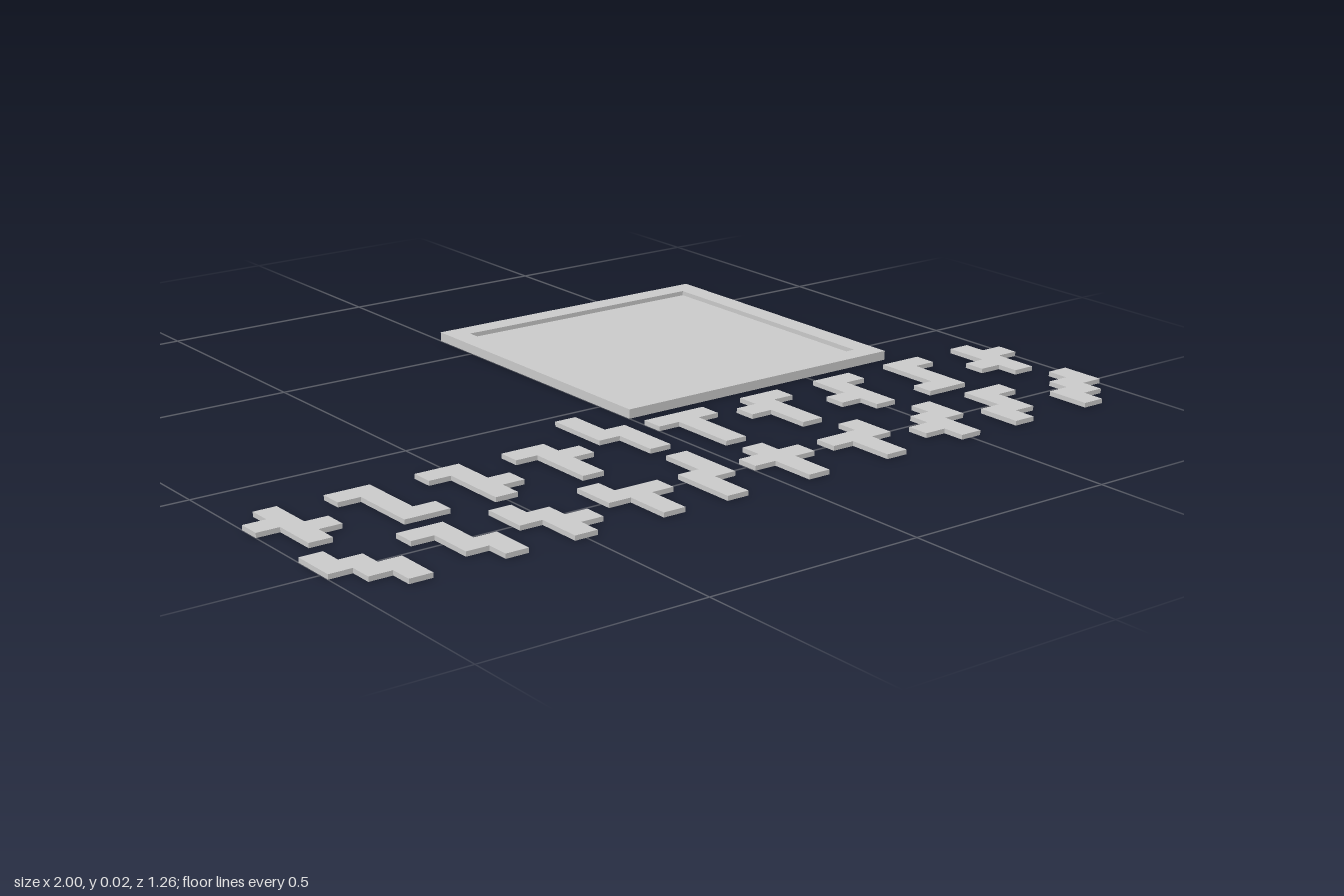
import * as THREE from 'three';

const CELL = 2 / 38;          // side of one square cell
const THICK = CELL * 0.2;     // thickness of a puzzle piece
const TRAY = 14 * CELL;       // outer side of the tray
const RIM = 0.05;             // width of the tray rim
const material = new THREE.MeshStandardMaterial({ color: 0xcccccc, flatShading: true });

// Two rows of pieces; each piece lists its rows of cells from back to front
const backRow = [
  '.X. XX. .XX .X.', 'XX. .X. .X. .XX', 'XX. .X. .XX .X.', 'XX. .XX .X. .X.',
  'X. X. XX .X .X',
  'XXX .X. .X. .X.', '.XX XX. .X. .X.', '.XX .X. XX. .X.', '.XX .X. .X. XX.', '.X. .XX XX. .X.',
];
const frontRow = [
  'X.. XX. .XX ..X', 'XX. .X. .XX ..X', 'X.. XX. .XX .X.', 'X.. XXX .X. .X.',
  '.X .X XX X. X.',
  '.X. XXX .X. .X.', '..X XXX .X. .X.', '..X .XX XX. .X.', '.XX .X. XX. X..', '..X .XX XX. X..',
];

// Follows the outer edge of the filled cells and returns it as a shape
function outline(rows) {
  const filled = (c, r) => rows[r]?.[c] === 'X';
  const next = new Map();
  const edge = (a, b) => next.set(a.join(), b);
  rows.forEach((row, r) => [...row].forEach((ch, c) => {
    if (ch !== 'X') return;
    if (!filled(c, r - 1)) edge([c + 1, r], [c, r]);
    if (!filled(c - 1, r)) edge([c, r], [c, r + 1]);
    if (!filled(c, r + 1)) edge([c, r + 1], [c + 1, r + 1]);
    if (!filled(c + 1, r)) edge([c + 1, r + 1], [c + 1, r]);
  }));
  const start = next.keys().next().value;
  const points = [];
  let key = start;
  do {
    const p = next.get(key);
    points.push(new THREE.Vector2(p[0] * CELL, -p[1] * CELL));
    key = p.join();
  } while (key !== start);
  return new THREE.Shape(points);
}

// Extrudes a plan shape upwards from the ground
function slab(shape, height) {
  return new THREE.ExtrudeGeometry(shape, { depth: height, bevelEnabled: false }).rotateX(-Math.PI / 2);
}

function square(PathType, half) {
  return new PathType([[-1, -1], [1, -1], [1, 1], [-1, 1]].map(([x, y]) => new THREE.Vector2(x * half, y * half)));
}

function add(parent, geometry, name, x, y, z) {
  const mesh = new THREE.Mesh(geometry, material);
  mesh.name = name;
  mesh.position.set(x, y, z);
  parent.add(mesh);
}

export function createModel() {
  const model = new THREE.Group();
  model.name = 'puzzleSet';

  // Tray: a raised square rim around a lower floor
  const tray = new THREE.Group();
  tray.name = 'tray';
  tray.position.set(TRAY / 2, 0, -5 * CELL);
  model.add(tray);
  const rim = square(THREE.Shape, TRAY / 2);
  rim.holes.push(square(THREE.Path, TRAY / 2 - RIM));
  add(tray, slab(rim, THICK * 2), 'trayRim', 0, 0, 0);
  add(tray, slab(square(THREE.Shape, TRAY / 2 - RIM), THICK), 'trayFloor', 0, 0, 0);

  // Pieces: laid out one cell apart, each row aligned along its front edge
  [[backRow, 7, 'backPiece'], [frontRow, 12, 'frontPiece']].forEach(([pieces, frontEdge, name]) => {
    let column = -19;
    pieces.forEach((text, i) => {
      const rows = text.split(' ');
      // the five-cell-long piece of the back row sits one cell further back
      const front = frontEdge - (rows.length === 5 && frontEdge === 7 ? 1 : 0);
      add(model, slab(outline(rows), THICK), name + (i + 1), column * CELL, 0, (front - rows.length) * CELL);
      column += rows[0].length + 1;
    });
  });
  return model;
}
